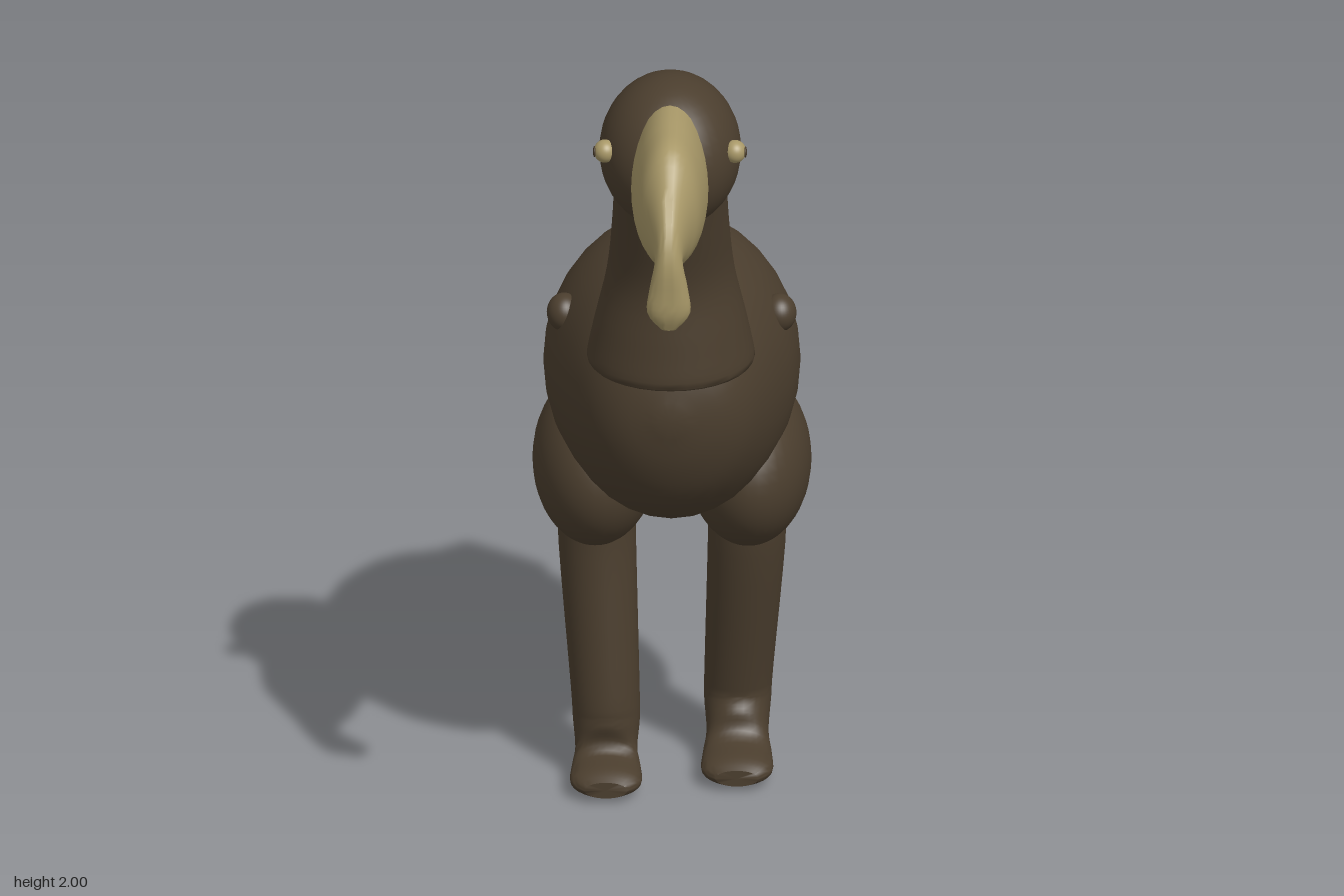
import * as THREE from 'three';
import { toCreasedNormals } from 'three/addons/utils/BufferGeometryUtils.js';

const plumage = new THREE.MeshStandardMaterial({ color: 0x4b3e2e });
plumage.name = 'dark brown plumage';
const horn = new THREE.MeshStandardMaterial({ color: 0xa89868 });
horn.name = 'pale horn';

// Catmull-Rom interpolation of the section table
function smoothSections(sections, steps) {
  const out = [];
  const last = sections.length - 1;
  const at = (i) => sections[Math.min(Math.max(i, 0), last)];
  for (let i = 0; i < last; i++) {
    for (let s = 0; s < steps; s++) {
      const t = s / steps;
      out.push(at(i).map((b, k) => {
        const a = at(i - 1)[k], c = at(i + 1)[k], d = at(i + 2)[k];
        return b + 0.5 * t * (c - a + t * (2 * a - 5 * b + 4 * c - d + t * (3 * (b - c) + d - a)));
      }));
    }
  }
  out.push(at(last));
  return out;
}

// Skin over elliptic sections [x, y, z, half width, half depth, tilt in degrees].
// Tilt 0 is a level ring (sections run downwards), tilt 90 an upright one (sections run forwards).
function loft(sections, steps = 4, segments = 32) {
  const rings = smoothSections(sections, steps);
  const pos = [], index = [];
  for (const [x, y, z, rx, r, tilt] of rings) {
    const t = THREE.MathUtils.degToRad(tilt);
    for (let j = 0; j < segments; j++) {
      const a = (j / segments) * Math.PI * 2;
      const v = r * Math.sin(a);
      pos.push(x + rx * Math.cos(a), y + v * Math.sin(t), z + v * Math.cos(t));
    }
  }
  const end = (rings.length - 1) * segments;
  const first = pos.length / 3;
  pos.push(...rings[0].slice(0, 3), ...rings[rings.length - 1].slice(0, 3));
  for (let j = 0; j < segments; j++) {
    const k = (j + 1) % segments;
    for (let i = 0; i < end; i += segments) {
      index.push(i + j, i + k, i + segments + k, i + j, i + segments + k, i + segments + j);
    }
    index.push(first, k, j, first + 1, end + j, end + k);
  }
  const geo = new THREE.BufferGeometry();
  geo.setAttribute('position', new THREE.Float32BufferAttribute(pos, 3));
  geo.setIndex(index);
  return toCreasedNormals(geo, 0.9);
}

export function createModel() {
  const model = new THREE.Group();
  model.name = 'bird';

  const add = (name, geometry, material) => {
    const mesh = new THREE.Mesh(geometry, material);
    mesh.name = name;
    model.add(mesh);
    return mesh;
  };
  const ball = (name, material, center, radii) => {
    const mesh = add(name, new THREE.SphereGeometry(1, 36, 24), material);
    mesh.position.set(...center);
    mesh.scale.set(...radii);
    return mesh;
  };

  // Plump body, tail end first: z, centre height, half height, half width
  add('body', loft([
    [-0.745, 0.93, 0.03, 0.03],
    [-0.72, 0.955, 0.125, 0.12],
    [-0.66, 0.97, 0.21, 0.18],
    [-0.58, 0.985, 0.275, 0.225],
    [-0.46, 1.01, 0.32, 0.27],
    [-0.32, 1.03, 0.34, 0.297],
    [-0.18, 1.04, 0.34, 0.292],
    [-0.05, 1.05, 0.323, 0.26],
    [0.06, 1.065, 0.275, 0.22],
    [0.14, 1.077, 0.212, 0.175],
    [0.19, 1.09, 0.13, 0.115],
    [0.215, 1.09, 0.03, 0.03],
  ].map(([z, y, ry, rx]) => [0, y, z, rx, ry, 90])), plumage);

  // Short flat tail fan
  add('tail', loft([
    [0, 1.035, -0.805, 0.015, 0.006, 90],
    [0, 1.03, -0.75, 0.095, 0.024, 90],
    [0, 1.02, -0.69, 0.17, 0.045, 90],
    [0, 1.02, -0.6, 0.18, 0.06, 90],
  ]), plumage);

  // Neck flaring into an overhanging collar
  add('neck', loft([
    [0, 1.82, 0.25, 0.12, 0.12, 0],
    [0, 1.72, 0.225, 0.13, 0.128, 0],
    [0, 1.6, 0.175, 0.135, 0.135, 0],
    [0, 1.44, 0.105, 0.148, 0.155, 0],
    [0, 1.3, 0.085, 0.178, 0.178, 0],
    [0, 1.21, 0.075, 0.195, 0.193, 0],
    [0, 1.19, 0.075, 0.188, 0.187, 0],
  ]), plumage);

  ball('head', plumage, [0, 1.817, 0.285], [0.165, 0.183, 0.197]);

  // Deep beak curving down into a rounded hook
  add('beak', loft([
    [0, 1.79, 0.44, 0.09, 0.194, 102],
    [0, 1.808, 0.535, 0.086, 0.174, 95],
    [0, 1.821, 0.635, 0.073, 0.152, 92],
    [0, 1.8, 0.697, 0.052, 0.107, 87],
    [0, 1.757, 0.762, 0.032, 0.062, 66],
    [0, 1.685, 0.774, 0.044, 0.031, 12],
    [0, 1.62, 0.772, 0.05, 0.026, 0],
    [0, 1.577, 0.77, 0.018, 0.01, 0],
  ]), horn);

  // Legs run from hip to toe; the last number is how far the right leg steps ahead
  const legSections = [
    [0.175, 0.7, -0.27, 0.09, 0.1, 0, 0],
    [0.173, 0.56, -0.283, 0.09, 0.097, 0, 0.01],
    [0.155, 0.22, -0.35, 0.08, 0.082, 0, 0.11],
    [0.152, 0.14, -0.355, 0.078, 0.08, 15, 0.12],
    [0.152, 0.072, -0.31, 0.072, 0.075, 50, 0.1],
    [0.152, 0.042, -0.25, 0.08, 0.044, 80, 0.08],
    [0.152, 0.036, -0.16, 0.082, 0.034, 90, 0.07],
    [0.152, 0.032, -0.122, 0.05, 0.02, 90, 0.07],
  ];

  for (const side of [1, -1]) {
    const label = side > 0 ? 'left' : 'right';
    add(label + 'Leg', loft(legSections.map(([x, y, z, rx, r, tilt, step]) =>
      [side * x, y, z + (side < 0 ? step : 0), rx, r, tilt])), plumage);
    ball(label + 'Thigh', plumage, [side * 0.178, 0.778, -0.285], [0.146, 0.2, 0.235]);

    // Stub of a wing on the shoulder
    ball(label + 'WingStub', plumage, [side * 0.25, 1.2, -0.165], [0.04, 0.045, 0.045]);

    // Eye with a small dark pupil
    ball(label + 'Eye', horn, [side * 0.151, 1.85, 0.37], [0.026, 0.027, 0.027]);
    ball(label + 'Pupil', plumage, [side * 0.175, 1.85, 0.373], [0.004, 0.013, 0.013]);
  }

  return model;
}
